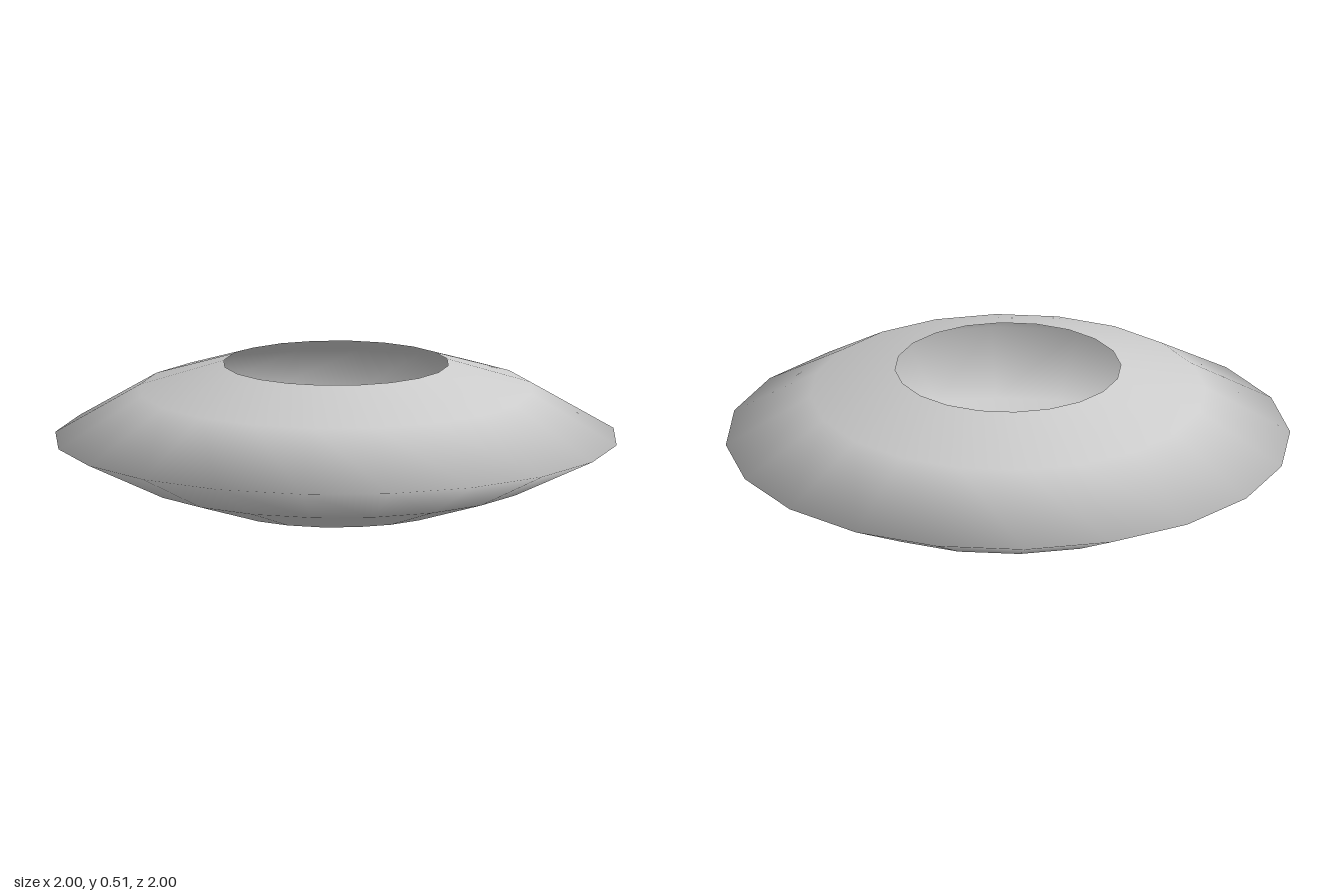
import * as THREE from 'three';

export function createModel() {
  const group = new THREE.Group();
  group.name = 'openRing';

  // Hollow shell, open at the top and bottom: [radius, height]
  const profile = [[0.4, 0], [0.7, 0.095], [1, 0.24], [0.7, 0.418], [0.4, 0.513]]
    .map(([r, y]) => new THREE.Vector2(r, y));

  const shell = new THREE.Mesh(
    new THREE.LatheGeometry(profile, 20),
    new THREE.MeshStandardMaterial({ color: 0xcccccc, side: THREE.DoubleSide })
  );
  shell.name = 'shell';
  group.add(shell);
  return group;
}
